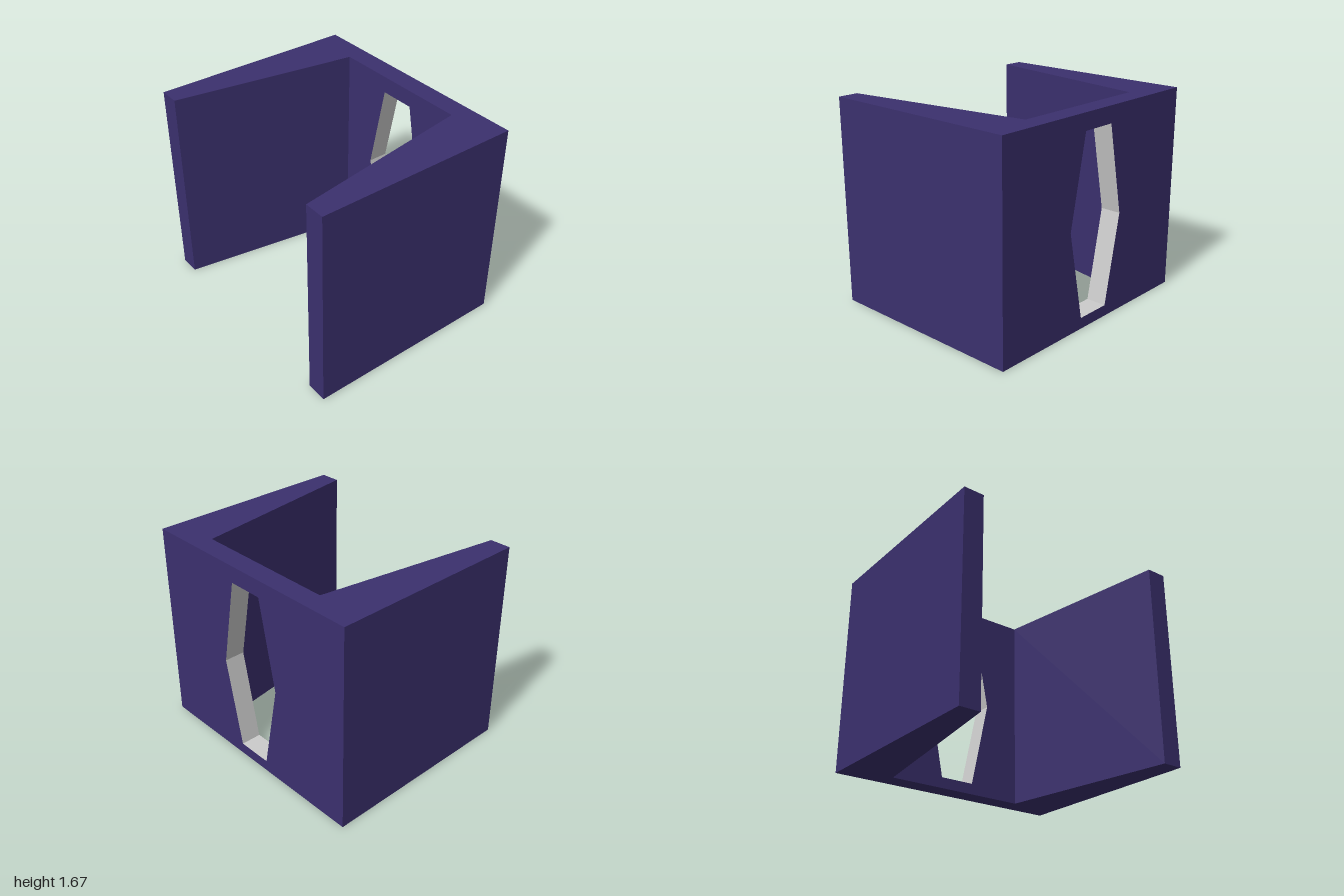
import * as THREE from 'three';

const HEIGHT = 1.667, BACK = -0.833, FRONT = 0.833, INNER = -0.667, CORNER = 0.595;

const shapeOf = (pts) => new THREE.Shape(pts.map(([x, y]) => new THREE.Vector2(x, y)));

export function createModel() {
  const group = new THREE.Group();
  const purple = new THREE.MeshStandardMaterial({ color: 0x3b306e, flatShading: true });
  const grey = new THREE.MeshStandardMaterial({ color: 0xcccccc, flatShading: true });

  // Back wall with a tall six-sided window
  const wall = shapeOf([[-CORNER, 0], [CORNER, 0], [CORNER, HEIGHT], [-CORNER, HEIGHT]]);
  wall.holes.push(shapeOf([
    [-0.147, 0.09], [-0.293, 0.81], [-0.147, 1.533],
    [0.147, 1.533], [0.293, 0.81], [0.147, 0.09],
  ]));
  const wallGeo = new THREE.ExtrudeGeometry(wall, { depth: INNER - BACK, bevelEnabled: false });
  wallGeo.translate(0, 0, BACK);
  // The four outer sides stay purple; the window lining after them is grey
  const sides = wallGeo.groups[1].start, lining = sides + 4 * 6;
  wallGeo.clearGroups();
  wallGeo.addGroup(0, lining, 0);
  wallGeo.addGroup(lining, wallGeo.attributes.position.count - lining, 1);
  const backWall = new THREE.Mesh(wallGeo, [purple, grey]);
  backWall.name = 'backWall';
  group.add(backWall);

  // Side walls: tapered plans, thinner to the front, extruded upward
  for (const [name, s] of [['leftWall', 1], ['rightWall', -1]]) {
    const plan = shapeOf([
      [s * CORNER, -BACK], [s, -BACK], [s, -FRONT], [s * 0.833, -FRONT], [s * CORNER, -INNER],
    ]);
    const geo = new THREE.ExtrudeGeometry(plan, { depth: HEIGHT, bevelEnabled: false });
    geo.rotateX(-Math.PI / 2);
    const side = new THREE.Mesh(geo, purple);
    side.name = name;
    group.add(side);
  }
  return group;
}
